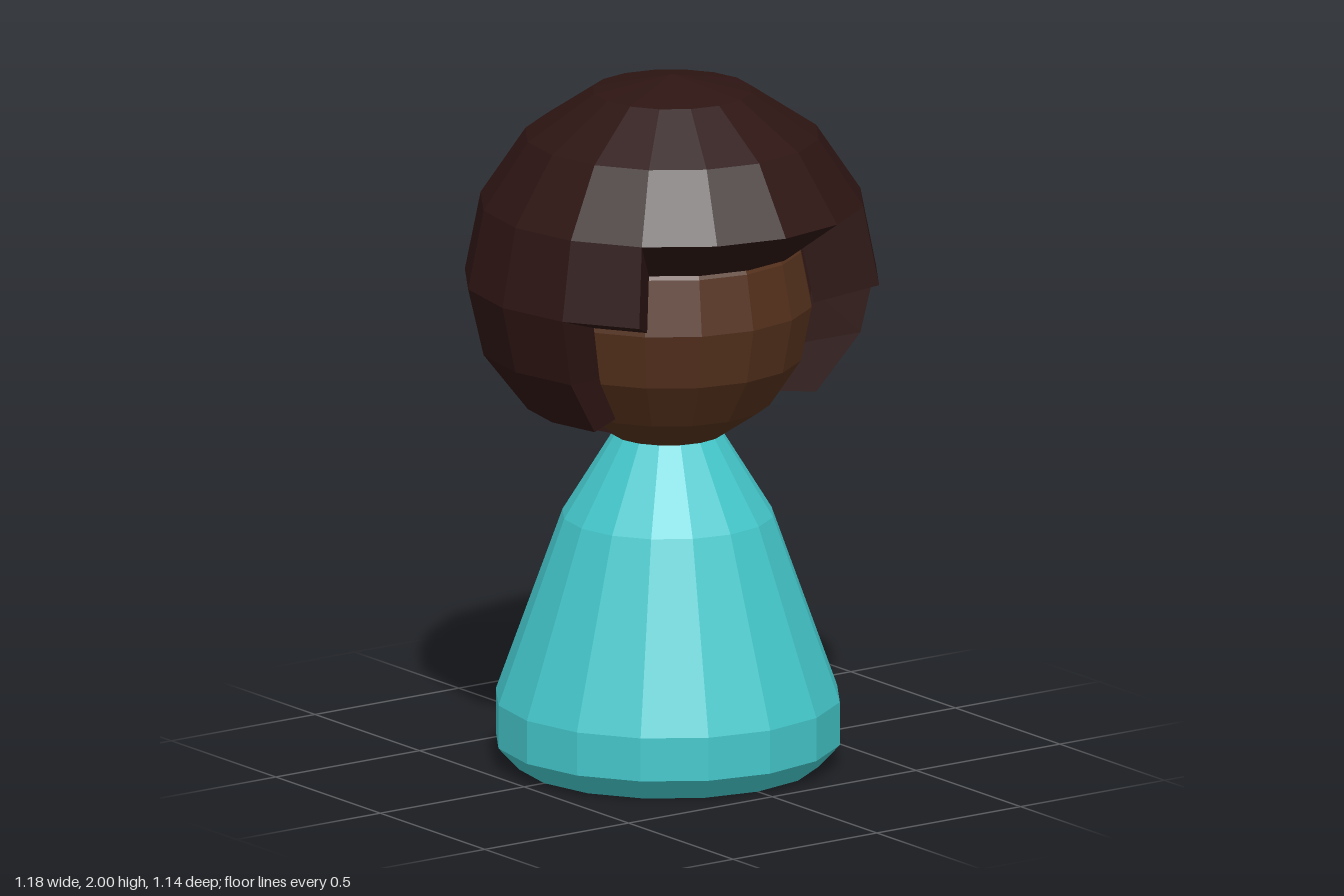
import * as THREE from 'three';

const SIDES = 16;
const STEP = (Math.PI * 2) / SIDES;

const material = (color) =>
  new THREE.MeshStandardMaterial({ color, flatShading: true, side: THREE.DoubleSide });

function part(name, geometry, color) {
  const mesh = new THREE.Mesh(geometry, material(color));
  mesh.name = name;
  return mesh;
}

// Point on a shell: ring counts down from the crown, column counts from the front towards +x
function shellPoint(ring, column, radius, centerY, centerZ, lowerScale) {
  const tilt = ring * STEP;
  const r = radius * Math.sin(tilt);
  const h = radius * Math.cos(tilt) * (ring > 4 ? lowerScale : 1);
  const a = column * STEP;
  return [r * Math.sin(a), centerY + h, centerZ + r * Math.cos(a)];
}
const outer = (ring, column) => shellPoint(ring, column, 0.59, 1.41, 0.02, 0.86);
const inner = (ring, column) => shellPoint(ring, column, 0.41, 1.35, 0.01, 1);

// Thick bob: each column of the shell stops at its own ring, leaving the face open
function hairGeometry() {
  const positions = [];
  const tri = (a, b, c) => positions.push(...a, ...b, ...c);
  const quad = (a, b, c, d) => { tri(a, b, c); tri(a, c, d); };
  const lastRing = (c) => {
    const fromFront = Math.min(c, SIDES - 1 - c);
    return fromFront < 2 ? 3 : fromFront < 3 ? 4 : 6;
  };
  const isBack = (c) => c >= 4 && c <= 11;

  for (let c = 0; c < SIDES; c++) {
    const end = lastRing(c);
    // outer surface
    tri(outer(0, c), outer(1, c), outer(1, c + 1));
    for (let j = 1; j < end; j++) {
      quad(outer(j, c), outer(j + 1, c), outer(j + 1, c + 1), outer(j, c + 1));
    }
    // lower rim, turned in to the head
    const rim = isBack(c) ? 7 : end;
    quad(outer(end, c), inner(rim, c), inner(rim, c + 1), outer(end, c + 1));

    // upright walls where neighbouring columns differ in length
    const before = lastRing((c + SIDES - 1) % SIDES);
    for (let j = Math.min(before, end); j < Math.max(before, end); j++) {
      const wall = [outer(j, c), inner(j, c), inner(j + 1, c), outer(j + 1, c)];
      if (end > before) wall.reverse();
      quad(...wall);
    }
  }
  // small gussets where the nape begins
  tri(outer(6, 4), inner(6, 4), inner(7, 4));
  tri(outer(6, 12), inner(7, 12), inner(6, 12));

  const geometry = new THREE.BufferGeometry();
  geometry.setAttribute('position', new THREE.Float32BufferAttribute(positions, 3));
  geometry.computeVertexNormals();
  return geometry;
}

export function createModel() {
  const model = new THREE.Group();
  model.name = 'pegDoll';

  // Tapered body with a bevelled foot
  const profile = [[0, 0], [0.43, 0], [0.49, 0.065], [0.49, 0.19], [0.3, 0.72], [0.155, 0.955], [0, 0.955]]
    .map(([r, y]) => new THREE.Vector2(r, y));
  model.add(part('body', new THREE.LatheGeometry(profile, SIDES), 0x45c8cc));

  // Head
  const head = part('head', new THREE.SphereGeometry(0.41, SIDES, 8), 0x54301c);
  head.position.y = 1.335;
  model.add(head);

  // Hair
  model.add(part('hair', hairGeometry(), 0x2d1513));
  return model;
}
